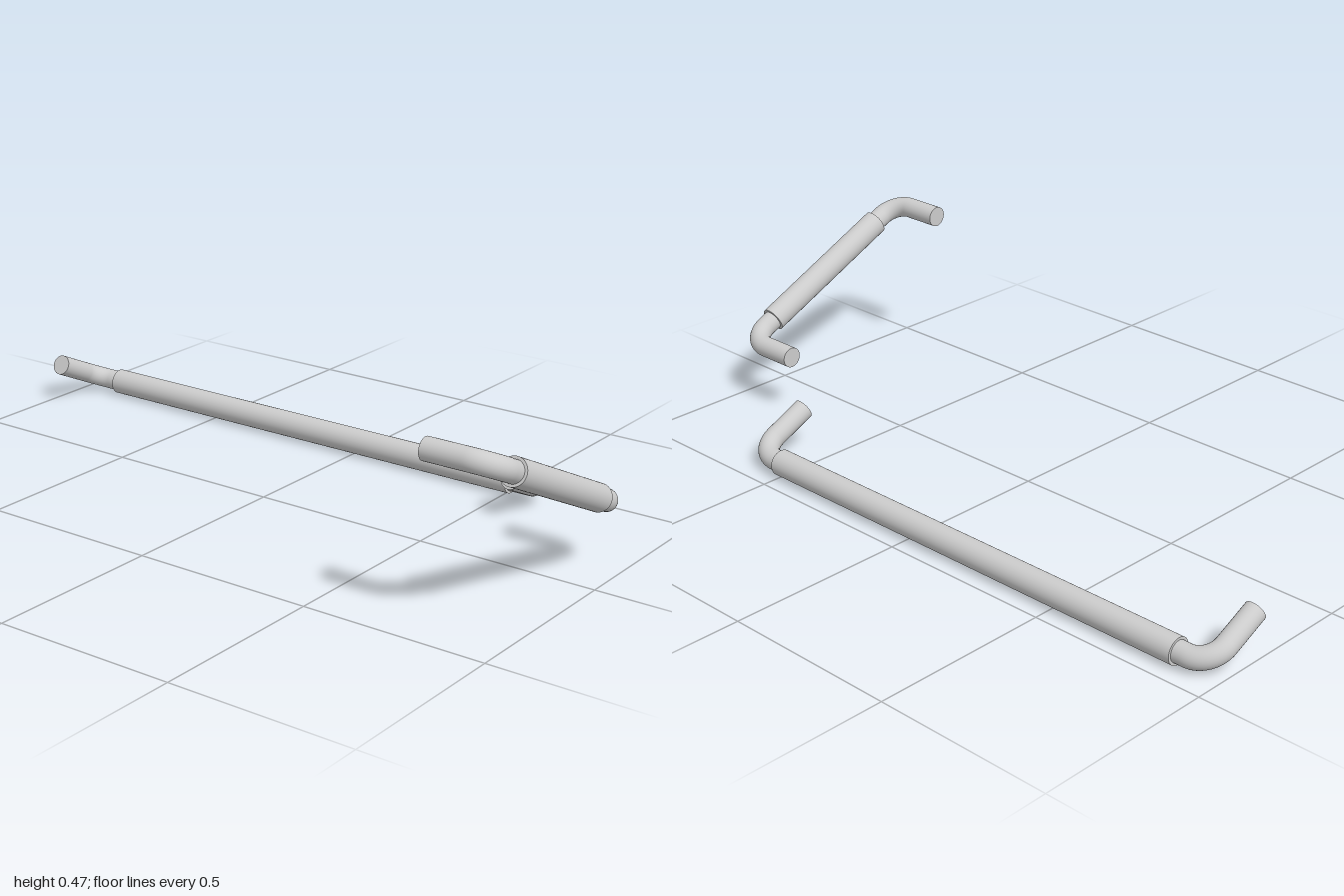
import * as THREE from 'three';

const material = new THREE.MeshStandardMaterial({ color: 0xcccccc });
const TUBE_R = 0.029, GRIP_R = 0.036, BEND = 0.065, LEG = 0.179;
const V = (x, y, z) => new THREE.Vector3(x, y, z);

function addMesh(parent, name, geometry) {
  const mesh = new THREE.Mesh(geometry, material);
  mesh.name = name;
  parent.add(mesh);
  return mesh;
}

// Pull handle: grip along local x, mounting legs pointing to local -z
function makeHandle(name, center, along, outward, halfSpan, halfGrip) {
  const handle = new THREE.Group();
  handle.name = name;

  const grip = addMesh(handle, 'gripSleeve', new THREE.CylinderGeometry(GRIP_R, GRIP_R, halfGrip * 2, 48));
  grip.rotation.z = Math.PI / 2;

  for (const s of [-1, 1]) {
    // Leg, quarter bend and short rod running into the grip
    const k = BEND * 0.4477;
    const foot = V(s * halfSpan, 0, -LEG);
    const bendStart = V(s * halfSpan, 0, -BEND);
    const bendEnd = V(s * (halfSpan - BEND), 0, 0);
    const path = new THREE.CurvePath();
    path.add(new THREE.LineCurve3(foot, bendStart));
    path.add(new THREE.CubicBezierCurve3(bendStart, V(s * halfSpan, 0, -k), V(s * (halfSpan - k), 0, 0), bendEnd));
    path.add(new THREE.LineCurve3(bendEnd, V(s * (halfGrip - 0.02), 0, 0)));
    addMesh(handle, 'bentLeg', new THREE.TubeGeometry(path, 48, TUBE_R, 32));

    // Flat end of the leg
    const cap = addMesh(handle, 'legEnd', new THREE.CircleGeometry(TUBE_R, 32));
    cap.position.copy(foot);
    cap.rotation.y = Math.PI;
  }

  const up = outward.clone().cross(along);
  handle.quaternion.setFromRotationMatrix(new THREE.Matrix4().makeBasis(along, up, outward));
  handle.position.copy(center);
  return handle;
}

export function createModel() {
  const model = new THREE.Group();
  model.name = 'pullHandles';
  const tilt = THREE.MathUtils.degToRad(25);
  const slope = V(Math.cos(tilt), -Math.sin(tilt), 0);
  const front = V(0, 0, 1);
  model.add(makeHandle('shortHandle', V(-0.143, 0.306, 0.964), slope, front, 0.32, 0.227));
  model.add(makeHandle('longHandle', V(0.428, 0.036, -0.185), front, slope, 0.786, 0.695));
  return model;
}
